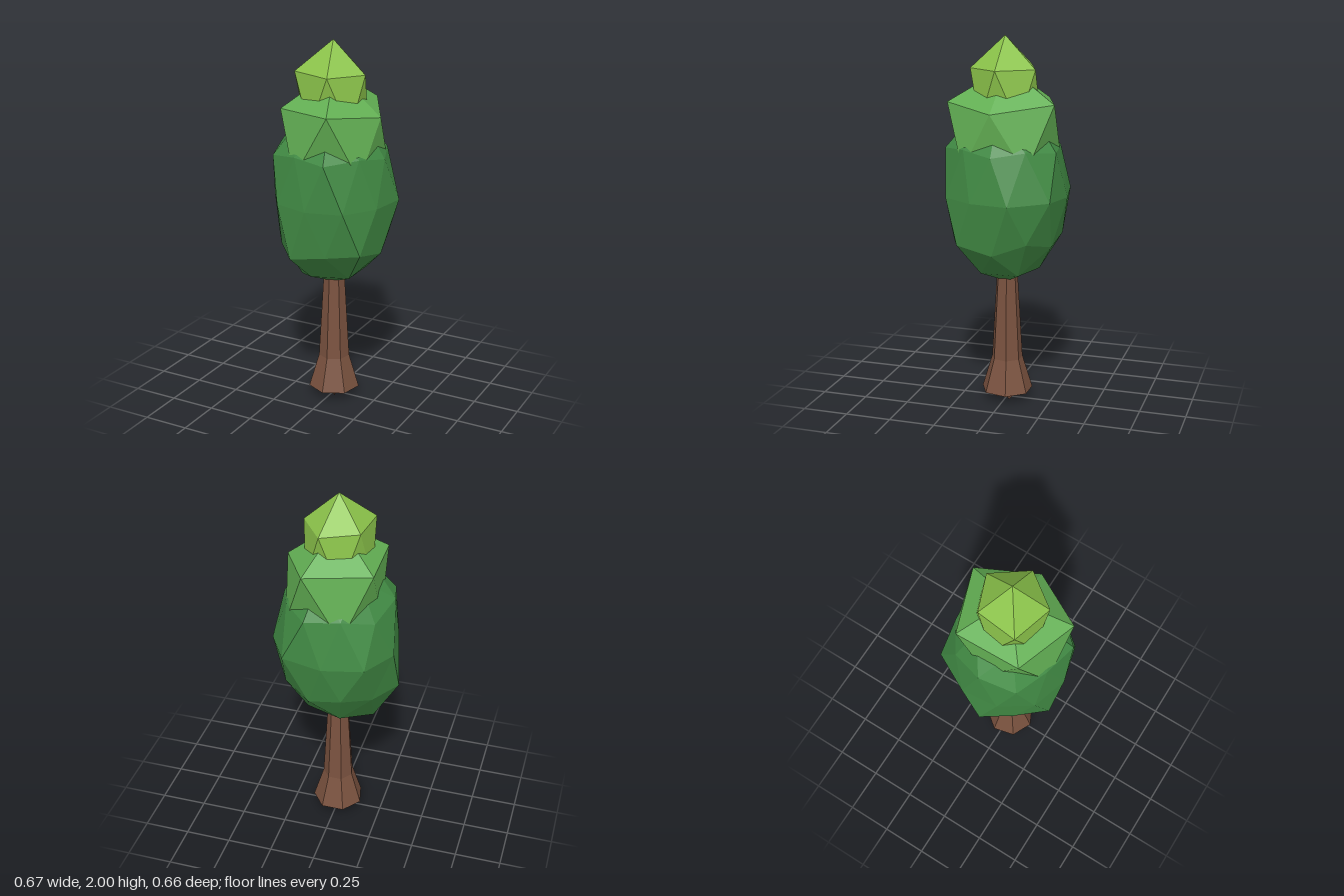
import * as THREE from 'three';

function material(name, color) {
  const m = new THREE.MeshStandardMaterial({ color, flatShading: true });
  m.name = name;
  return m;
}

// Stretched icosahedron standing on a point; each nudge pulls its nearest corner to [x, y, z]
function foliage(name, mat, detail, radius, halfHeight, centerY, nudges) {
  const geo = new THREE.IcosahedronGeometry(1, detail);
  geo.rotateZ(-Math.atan(2 / (1 + Math.sqrt(5))));
  geo.scale(radius, halfHeight, radius);
  geo.translate(0, centerY, 0);

  const pos = geo.attributes.position;
  const corners = [];
  for (let i = 0; i < pos.count; i++) corners.push(new THREE.Vector3().fromBufferAttribute(pos, i));
  for (const nudge of nudges) {
    const target = new THREE.Vector3(...nudge);
    const nearest = corners.reduce((a, b) => (b.distanceTo(target) < a.distanceTo(target) ? b : a));
    corners.forEach((c, i) => {
      if (c.distanceTo(nearest) < 1e-3) pos.setXYZ(i, ...nudge);
    });
  }
  geo.computeVertexNormals();
  const mesh = new THREE.Mesh(geo, mat);
  mesh.name = name;
  return mesh;
}

export function createModel() {
  const tree = new THREE.Group();
  tree.name = 'tree';
  const bark = material('bark brown', 0x7a523f);
  const dark = material('dark green', 0x418a44);
  const mid = material('mid green', 0x63b054);
  const light = material('light green', 0x8bc34a);

  // Seven-sided trunk: tapered stem over a flared foot
  const addTrunk = (name, top, bottom, y0, y1, openEnded) => {
    const geo = new THREE.CylinderGeometry(top, bottom, y1 - y0, 7, 1, openEnded);
    const mesh = new THREE.Mesh(geo, bark);
    mesh.position.y = (y0 + y1) / 2;
    mesh.name = name;
    tree.add(mesh);
  };
  addTrunk('trunkStem', 0.056, 0.086, 0.235, 0.75, true);
  addTrunk('trunkFoot', 0.086, 0.142, 0.05, 0.235, false);

  // Small root points under the foot
  const roots = new THREE.Group();
  roots.name = 'roots';
  for (let i = 0; i < 4; i++) {
    const root = new THREE.Mesh(new THREE.ConeGeometry(0.04, 0.05, 3), bark);
    const a = i * Math.PI / 2 + 0.5;
    root.name = 'root';
    root.rotation.set(Math.PI, a, 0);
    root.position.set(0.055 * Math.sin(a), 0.025, 0.055 * Math.cos(a));
    roots.add(root);
  }
  tree.add(roots);

  // Large lower crown
  tree.add(foliage('lowerCrown', dark, 1, 0.335, 0.495, 1.165, [
    // widest belt
    [0.335, 1.16, -0.1], [0.22, 1.17, -0.295], [0, 1.16, -0.333], [-0.22, 1.17, -0.295],
    [-0.325, 1.16, -0.095], [-0.305, 1.16, 0.105], [-0.195, 1.16, 0.27], [0, 1.16, 0.33],
    [0.195, 1.16, 0.28], [0.305, 1.16, 0.11],
    // shoulders
    [0.295, 1.4, 0], [0.1, 1.41, -0.295], [-0.26, 1.4, 0.195], [0.1, 1.41, 0.312], [-0.305, 1.45, 0],
    // underside
    [-0.335, 0.9, 0.01], [-0.1, 0.88, 0.308], [0.255, 0.92, 0.2], [0.28, 0.88, 0], [-0.2, 0.68, 0],
  ]));

  // Middle crown
  tree.add(foliage('middleCrown', mid, 0, 0.325, 0.36, 1.48, [
    [0.275, 1.62, 0.01], [0.11, 1.66, -0.287], [-0.229, 1.655, -0.17],
    [-0.219, 1.65, 0.18], [0.11, 1.655, 0.295], [-0.228, 1.33, 0],
  ]));

  // Top crown
  tree.add(foliage('topCrown', light, 0, 0.2, 0.31, 1.69, [
    [0, 2, 0.01], [0.185, 1.83, 0.01], [0.055, 1.83, -0.17],
    [-0.14, 1.84, -0.095], [-0.165, 1.84, 0.125], [0.055, 1.83, 0.185],
  ]));

  return tree;
}
